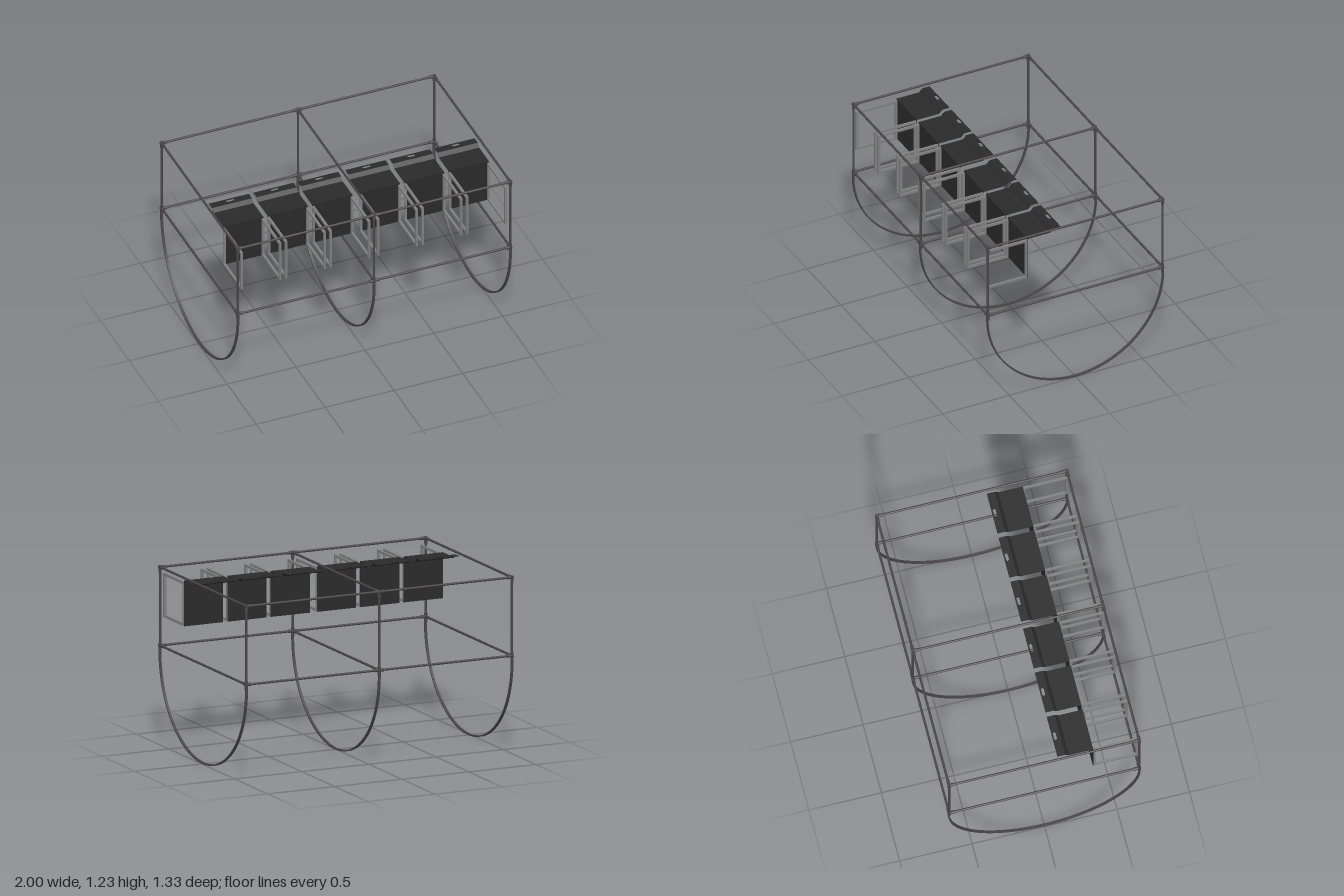
import * as THREE from 'three';
import { toCreasedNormals } from 'three/addons/utils/BufferGeometryUtils.js';

const steel = new THREE.MeshStandardMaterial({ color: 0x4a4546 });
const chrome = new THREE.MeshStandardMaterial({ color: 0x808080 });
const black = new THREE.MeshStandardMaterial({ color: 0x2a2a2a });

const X = 0.989, Z = 0.656, TOP = 1.216, LOW = 0.678;
const TUBE = 0.008, SLEEVE = 0.011;

function add(parent, name, geometry, material) {
  const mesh = new THREE.Mesh(geometry, material);
  mesh.name = name;
  parent.add(mesh);
  return mesh;
}

// Round bar between two points
function rod(parent, name, a, b, radius) {
  const from = new THREE.Vector3(...a), to = new THREE.Vector3(...b);
  const dir = to.clone().sub(from);
  const mesh = add(parent, name, new THREE.CylinderGeometry(radius, radius, dir.length(), 16), steel);
  mesh.position.copy(from).add(to).multiplyScalar(0.5);
  mesh.quaternion.setFromUnitVectors(new THREE.Vector3(0, 1, 0), dir.normalize());
}

// Extrude a (z, y) outline along x, centred on x = 0
function extrudeAcross(shape, width, curveSegments = 12) {
  const g = new THREE.ExtrudeGeometry(shape, { depth: width, bevelEnabled: false, curveSegments });
  g.rotateY(-Math.PI / 2);
  g.translate(width / 2, 0, 0);
  return toCreasedNormals(g, 0.5);
}

// Sleeves of one corner fitting
function fitting(parent, x, y, z) {
  const g = new THREE.Group();
  g.name = 'cornerFitting';
  const sz = Math.sign(z), sx = Math.sign(x);
  const up = y === TOP ? 0.011 : 0.022;
  rod(g, 'postSleeve', [x, y - 0.036, z], [x, y + up, z], SLEEVE);
  rod(g, 'depthSleeve', [x, y, z + sz * 0.008], [x, y, z - sz * 0.036], SLEEVE);
  const x0 = sx ? x + sx * 0.011 : -0.036;
  const x1 = sx ? x - sx * 0.036 : 0.036;
  rod(g, 'lengthSleeve', [x0, y, z], [x1, y, z], SLEEVE);
  parent.add(g);
}

function makeFrame() {
  const frame = new THREE.Group();
  frame.name = 'frame';
  for (const y of [LOW, TOP]) {
    for (const z of [-Z, Z]) rod(frame, 'lengthRail', [-X, y, z], [X, y, z], TUBE);
    for (const x of [-X, 0, X]) {
      rod(frame, 'depthRail', [x, y, -Z], [x, y, Z], TUBE);
      for (const z of [-Z, Z]) fitting(frame, x, y, z);
    }
  }
  // Flat half-round hoop below each end and the middle
  const arc = new THREE.Shape();
  arc.absellipse(0, 0.645, 0.664, 0.645, Math.PI, 2 * Math.PI, false);
  arc.lineTo(0.654, 0.645);
  arc.absellipse(0, 0.645, 0.654, 0.635, 2 * Math.PI, Math.PI, true);
  const hoopGeometry = extrudeAcross(arc, 0.017, 64);
  for (const x of [-X, 0, X]) {
    for (const z of [-Z, Z]) rod(frame, 'post', [x, 0.642, z], [x, TOP, z], TUBE);
    add(frame, 'hoop', hoopGeometry, steel).position.x = x;
  }
  return frame;
}

// Square loop of bar standing in the z-y plane
function loopGeometry() {
  const t = 0.016, z0 = 0.345, z1 = 0.655, y0 = 0.872, y1 = 1.174;
  const box = (z, y, w, h) => [[z, y], [z + w, y], [z + w, y + h], [z, y + h]].map(p => new THREE.Vector2(...p));
  const shape = new THREE.Shape(box(z0, y0, z1 - z0, y1 - y0));
  shape.holes.push(new THREE.Path(box(z0 + t, y0 + t, z1 - z0 - 2 * t, y1 - y0 - 2 * t)));
  return extrudeAcross(shape, 0.016);
}

// Bent sheet: hanging back, flat shelf and a short rise
function sheetGeometry(width) {
  const points = [[0.345, 0.87], [0.345, 1.185], [0.176, 1.185], [0.153, 1.21], [0.139, 1.21],
    [0.139, 1.207], [0.152, 1.207], [0.174, 1.182], [0.342, 1.182], [0.342, 0.87]];
  return extrudeAcross(new THREE.Shape(points.map(p => new THREE.Vector2(...p))), width);
}

// Rear tab with a rounded hand slot
function tabGeometry(width) {
  const w = width / 2, r = 0.01, s = 0.018, zc = 0.117;
  const shape = new THREE.Shape();
  shape.moveTo(-w, 0.097).lineTo(w, 0.097).lineTo(w, 0.139).lineTo(-w, 0.139).closePath();
  const slot = new THREE.Path();
  slot.absarc(s, zc, r, -Math.PI / 2, Math.PI / 2, false);
  slot.absarc(-s, zc, r, Math.PI / 2, Math.PI * 1.5, false);
  slot.closePath();
  shape.holes.push(slot);
  const g = new THREE.ExtrudeGeometry(shape, { depth: 0.003, bevelEnabled: false, curveSegments: 8 });
  g.rotateX(Math.PI / 2);
  g.translate(0, 1.21, 0);
  return g;
}

export function createModel() {
  const model = new THREE.Group();
  model.name = 'hangingRack';
  model.add(makeFrame());

  const WIDTH = 0.292;
  const sheet = sheetGeometry(WIDTH), tab = tabGeometry(WIDTH), loop = loopGeometry();
  for (const side of [-1, 1]) {
    for (const cx of [0.172, 0.495, 0.819]) {
      const unit = new THREE.Group();
      unit.name = 'hangingUnit';
      unit.position.x = side * cx;
      add(unit, 'sheet', sheet, black);
      add(unit, 'slottedTab', tab, black);
      for (const x of [-0.14, 0.14]) add(unit, 'sideLoop', loop, chrome).position.x = x;
      model.add(unit);
    }
  }
  return model;
}
